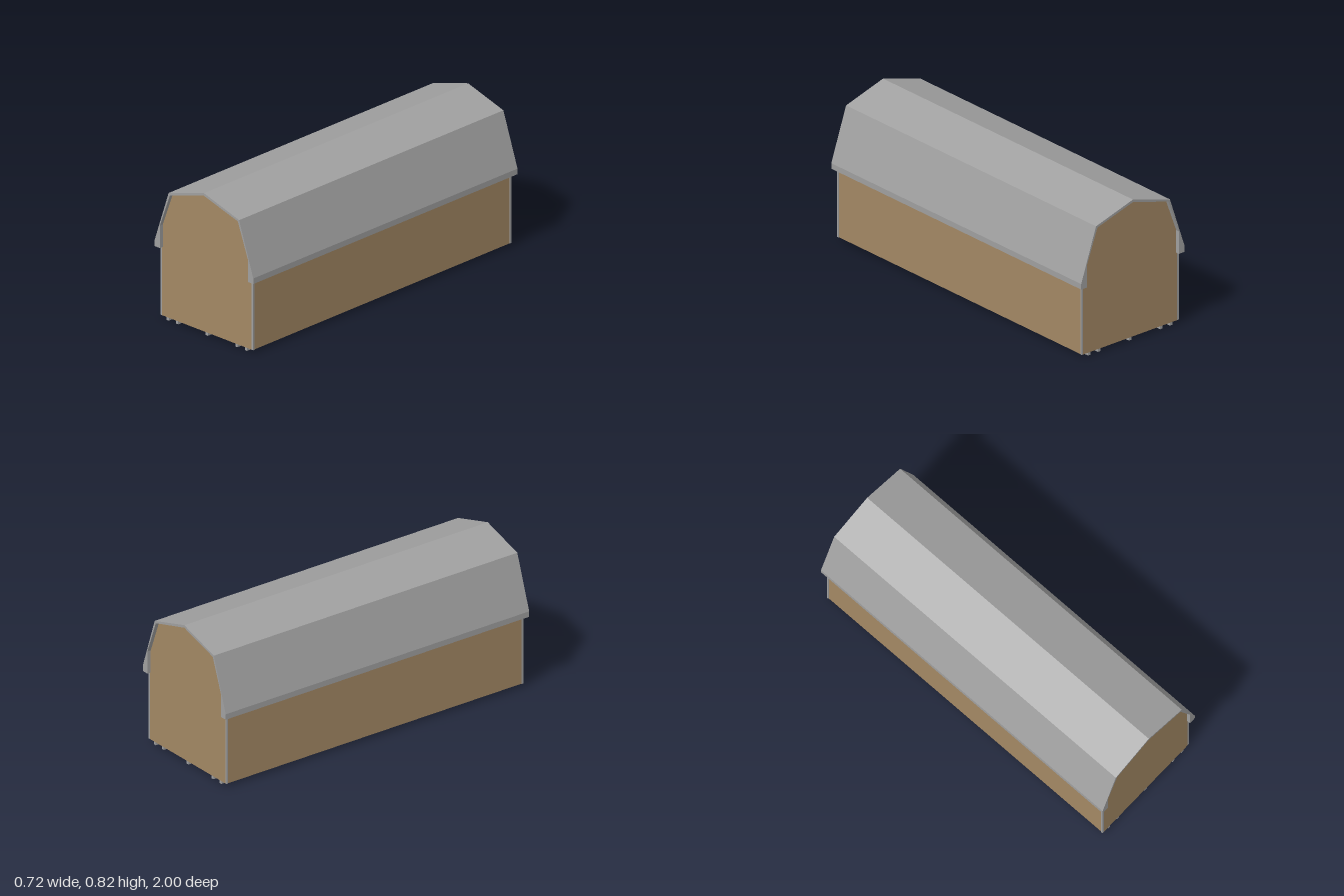
import * as THREE from 'three';

export function createModel() {
  const model = new THREE.Group();
  const metal = new THREE.MeshStandardMaterial({ name: 'grey metal', color: 0xa0a0a0 });
  const wood = new THREE.MeshStandardMaterial({ name: 'tan siding', color: 0xa38864 });

  const add = (name, geometry, material) => {
    const mesh = new THREE.Mesh(geometry, material);
    mesh.name = name;
    model.add(mesh);
    return mesh;
  };
  const box = (name, w, h, d, x, y, z, material) =>
    add(name, new THREE.BoxGeometry(w, h, d), material).position.set(x, y, z);

  // extrudes a closed x/y outline along z, centred on zMid
  const extrude = (name, points, depth, zMid, material) => {
    const shape = new THREE.Shape(points.map(([x, y]) => new THREE.Vector2(x, y)));
    const geometry = new THREE.ExtrudeGeometry(shape, { depth, bevelEnabled: false });
    geometry.translate(0, 0, zMid - depth / 2);
    return add(name, geometry, material);
  };
  // right half mirrored to the left, running from right eave to left eave
  const mirrored = (half) => [...half, ...half.slice(0, -1).reverse().map(([x, y]) => [-x, y])];

  const floorY = 0.017, eaveY = 0.41, endZ = 0.978, wallT = 0.007;
  const outer = mirrored([[0.36, eaveY], [0.36, 0.442], [0.257, 0.745], [0, 0.822]]);
  const inner = mirrored([[0.32, eaveY], [0.32, 0.54], [0.247, 0.735], [0, 0.807]]);
  const lining = mirrored([[0.318, eaveY], [0.318, 0.54], [0.245, 0.733], [0, 0.805]]);

  // gambrel roof shell with its inside lining
  extrude('roof', [...outer, ...[...inner].reverse()], 2, 0, metal);
  extrude('roofLining', [...inner, ...[...lining].reverse()], 2 * endZ - 0.016, 0, wood);

  // gable end walls
  const gable = [[0.327, floorY], [0.327, eaveY], ...inner, [-0.327, eaveY], [-0.327, floorY]];
  for (const side of [1, -1]) {
    extrude(side > 0 ? 'frontWall' : 'backWall', gable, wallT, side * (endZ - wallT / 2), wood);
  }

  // side walls and corner trims
  const wallH = eaveY - floorY, wallY = (eaveY + floorY) / 2;
  for (const side of [1, -1]) {
    box('sideWall', wallT, wallH, 2 * endZ - 0.02, side * 0.3315, wallY, 0, wood);
    for (const end of [1, -1]) {
      box('cornerTrim', 0.011, wallH, 0.011, side * 0.3325, wallY, end * (endZ - 0.0055), metal);
    }
  }

  // skids under the open base
  for (const x of [-0.285, -0.216, 0, 0.216, 0.285]) {
    box('skid', 0.016, floorY, 2 * endZ, x, floorY / 2, 0, metal);
  }

  return model;
}
